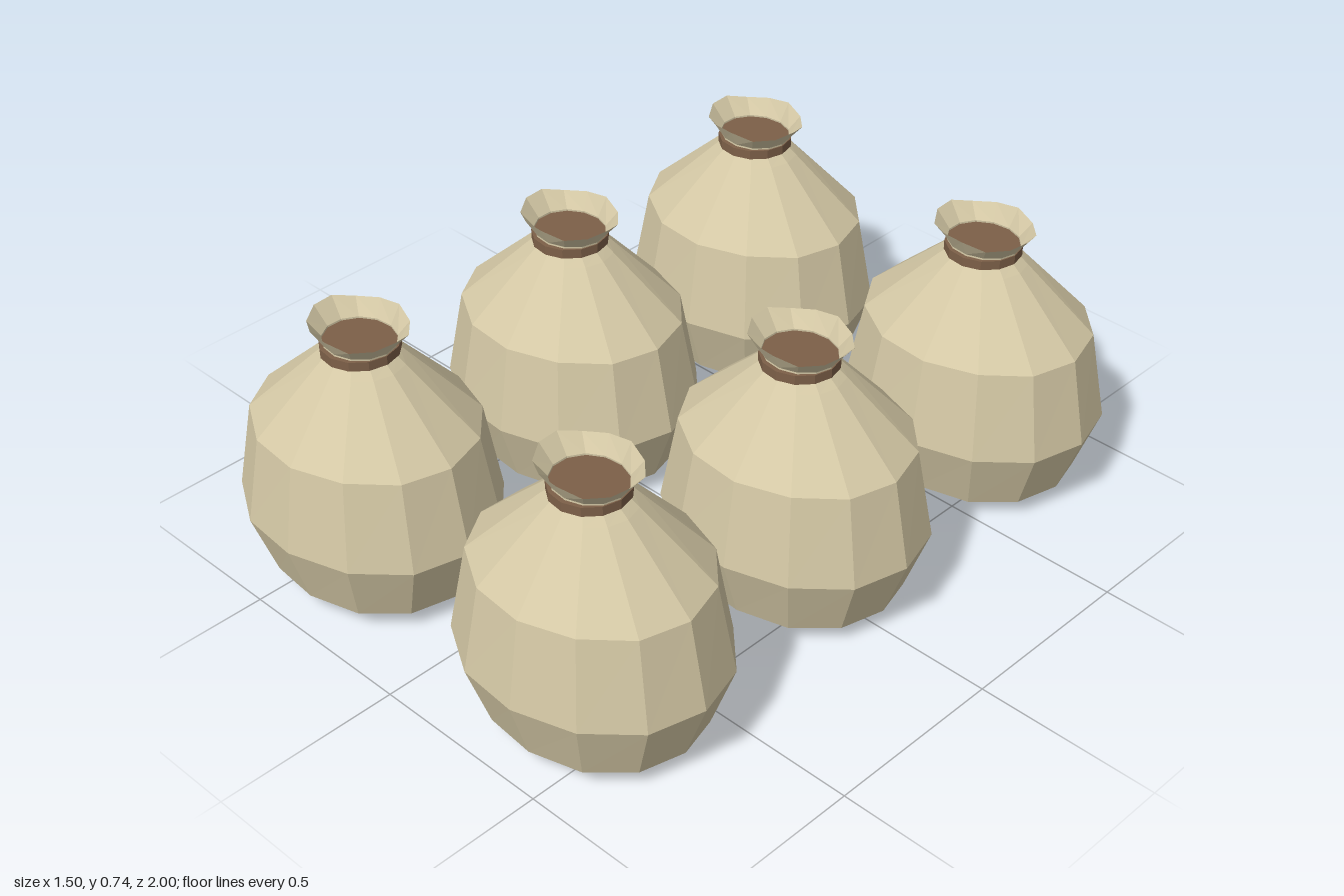
import * as THREE from 'three';

const SIDES = 13;

const burlap = new THREE.MeshStandardMaterial({ color: 0xd4c8a5, side: THREE.DoubleSide });
burlap.name = 'burlap';
const twine = new THREE.MeshStandardMaterial({ color: 0x7d6048 });
twine.name = 'twine brown';

// Oval rings from the open underside to the flared mouth:
// height, x radius, z radius, vertical ripple
const RINGS = [
  [0.008, 0.172, 0.142, 0.007],
  [0.056, 0.296, 0.25, 0.003],
  [0.228, 0.36, 0.307, 0.003],
  [0.465, 0.312, 0.268, 0.003],
  [0.64, 0.12, 0.108, 0],
  [0.66, 0.095, 0.09, 0],
  [0.69, 0.098, 0.088, 0],
  [0.734, 0.137, 0.115, 0.007],
];

// Faceted cloth skin stretched over the rings
function sackGeometry() {
  const positions = [];
  const index = [];
  RINGS.forEach(([y, rx, rz, ripple], i) => {
    for (let j = 0; j < SIDES; j++) {
      const a = (j / SIDES) * Math.PI * 2;
      const wave = ripple * Math.sin(4 * a + 0.6 + i);
      positions.push(rx * Math.cos(a), y + wave, rz * Math.sin(a));
      if (i === RINGS.length - 1) continue;
      const next = (j + 1) % SIDES;
      const p = i * SIDES + j, q = i * SIDES + next;
      index.push(p, p + SIDES, q, q, p + SIDES, q + SIDES);
    }
  });
  const indexed = new THREE.BufferGeometry();
  indexed.setAttribute('position', new THREE.Float32BufferAttribute(positions, 3));
  indexed.setIndex(index);
  const flat = indexed.toNonIndexed();
  flat.computeVertexNormals();
  return flat;
}

// Tie around the neck, capped so it closes the mouth
function tieGeometry() {
  const g = new THREE.CylinderGeometry(0.1, 0.1, 0.025, SIDES, 1, false, Math.PI / 2).toNonIndexed();
  g.computeVertexNormals();
  return g;
}

export function createModel() {
  const model = new THREE.Group();
  model.name = 'sacks';
  const cloth = sackGeometry();
  const tie = tieGeometry();

  // Two columns of three identical sacks
  for (const x of [-0.4, 0.39]) {
    for (const z of [-0.694, 0, 0.694]) {
      const sack = new THREE.Group();
      sack.name = 'sack';
      const body = new THREE.Mesh(cloth, burlap);
      body.name = 'sackCloth';
      const band = new THREE.Mesh(tie, twine);
      band.name = 'neckTie';
      band.position.y = 0.673;
      sack.add(body, band);
      sack.position.set(x, 0, z);
      model.add(sack);
    }
  }
  return model;
}
